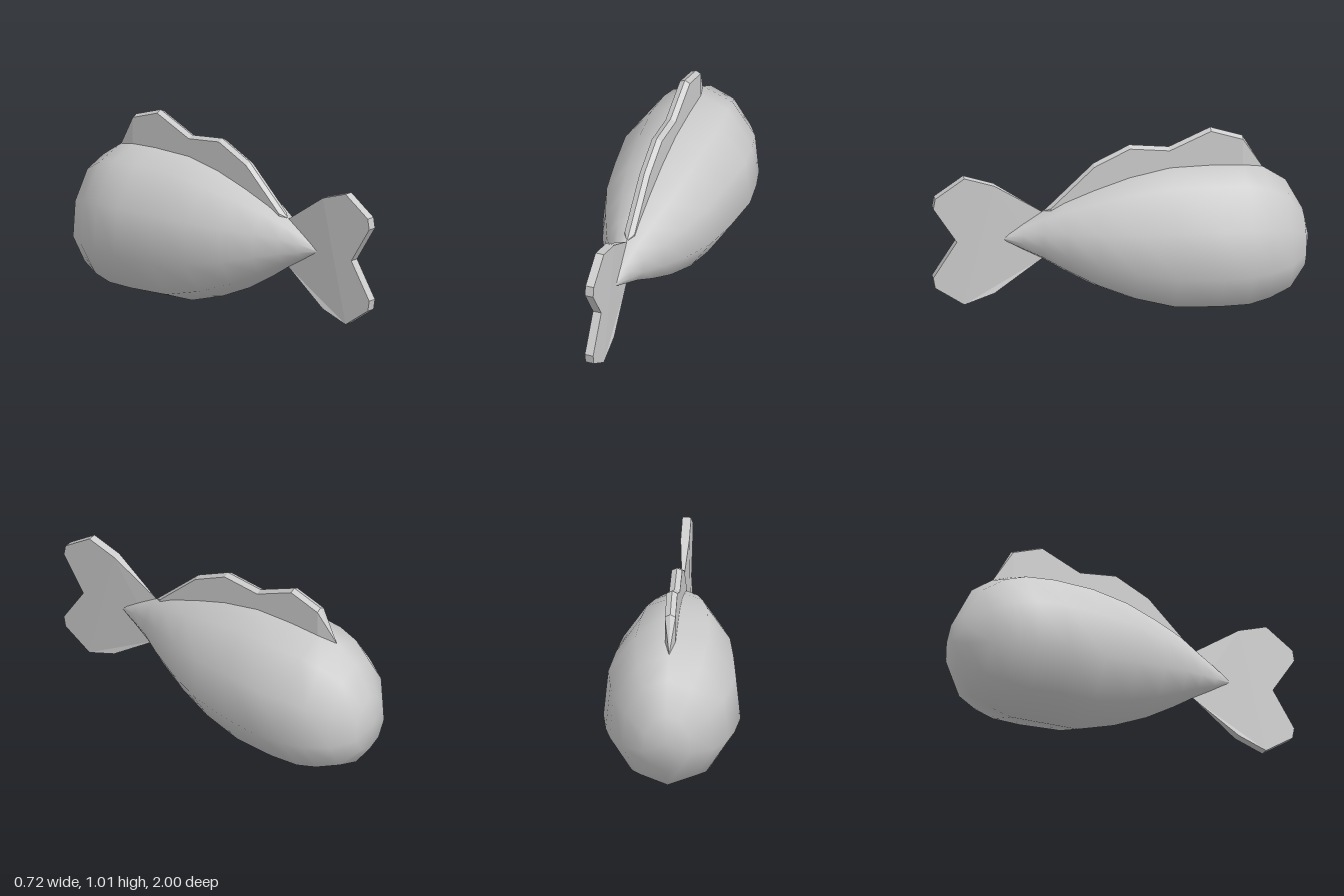
import * as THREE from 'three';
import { mergeVertices } from 'three/addons/utils/BufferGeometryUtils.js';

// Skin a list of closed rings (arrays of [x, y, z], equal length)
function loft(rings) {
  const n = rings[0].length;
  const index = [];
  for (let i = 0; i < rings.length - 1; i++) {
    for (let j = 0; j < n; j++) {
      const k = (j + 1) % n;
      const a = i * n + j, b = i * n + k, c = a + n, d = b + n;
      index.push(a, c, b, b, c, d);
    }
  }
  const geo = new THREE.BufferGeometry();
  geo.setAttribute('position', new THREE.Float32BufferAttribute(rings.flat(2), 3));
  geo.setIndex(index);
  return geo;
}

function addMesh(group, name, geometry, flatShading) {
  const material = new THREE.MeshStandardMaterial({ color: 0xcccccc, flatShading });
  const mesh = new THREE.Mesh(geometry, material);
  mesh.name = name;
  group.add(mesh);
}

// Ten-sided pear section: [share of half width, share of height]
const half = [[0, 1], [0.53, 0.914], [0.93, 0.663], [1, 0.35], [0.625, 0.098], [0, 0]];
const section = [...half, ...half.slice(1, 5).reverse().map(([x, y]) => [-x, y])];

function bodyGeometry() {
  // z, top, bottom, half width
  const stations = [
    [-1, 0.37, 0.37, 0], [-0.97, 0.52, 0.2, 0.125], [-0.88, 0.69, 0.08, 0.24],
    [-0.76, 0.772, 0.032, 0.312], [-0.65, 0.81, 0.004, 0.338], [-0.49, 0.82, 0.008, 0.36],
    [-0.26, 0.82, 0.015, 0.332], [-0.05, 0.78, 0.08, 0.3], [0.14, 0.72, 0.165, 0.235],
    [0.3, 0.66, 0.26, 0.165], [0.42, 0.595, 0.34, 0.098], [0.52, 0.54, 0.395, 0.055],
    [0.62, 0.475, 0.455, 0.015], [0.63, 0.465, 0.465, 0],
  ];
  const rings = stations.map(([z, top, bottom, w]) =>
    section.map(([x, y]) => [x * w, bottom + y * (top - bottom), z]));
  const geo = mergeVertices(loft(rings));
  geo.computeVertexNormals();
  return geo;
}

function dorsalFinGeometry() {
  // z, ridge height, root height inside the body, half thickness
  const stations = [
    [0.41, 0.6, 0.6, 0], [0.37, 0.637, 0.58, 0.028], [0.14, 0.855, 0.66, 0.028],
    [-0.05, 0.945, 0.7, 0.028], [-0.26, 0.92, 0.74, 0.028], [-0.48, 1.015, 0.74, 0.028],
    [-0.65, 0.957, 0.74, 0.028], [-0.755, 0.775, 0.77, 0],
  ];
  const geo = loft(stations.map(([z, ridge, root, w]) => {
    const edge = ridge - w * 0.5;
    return [[w, root, z], [w, edge, z], [0, ridge, z], [-w, edge, z], [-w, root, z]];
  }));
  geo.computeVertexNormals();
  return geo;
}

function tailGeometry() {
  const mid = 0.466, thick = 0.046;
  // Upper lobe from fork to root: z, height above the middle
  const lobe = [[0.995, 0.195], [0.985, 0.252], [0.83, 0.357], [0.67, 0.303], [0.41, 0.13]];
  const lower = lobe.map(([z, y]) => [z, -y]).reverse();
  const outline = [[0.87, 0], ...lobe, ...lower];
  const shape = new THREE.Shape(outline.map(([z, y]) => new THREE.Vector2(z, y + mid)));
  const geo = new THREE.ExtrudeGeometry(shape, { depth: thick, bevelEnabled: false });
  geo.translate(0, 0, -thick / 2).rotateY(-Math.PI / 2);
  // Thin the root to an edge
  const p = geo.attributes.position;
  for (let i = 0; i < p.count; i++) {
    p.setX(i, p.getX(i) * THREE.MathUtils.clamp((p.getZ(i) - 0.41) / 0.22, 0, 1));
  }
  geo.computeVertexNormals();
  return geo;
}

export function createModel() {
  const group = new THREE.Group();
  group.name = 'fish';
  addMesh(group, 'body', bodyGeometry(), false);
  addMesh(group, 'dorsalFin', dorsalFinGeometry(), true);
  addMesh(group, 'tailFin', tailGeometry(), true);
  return group;
}
